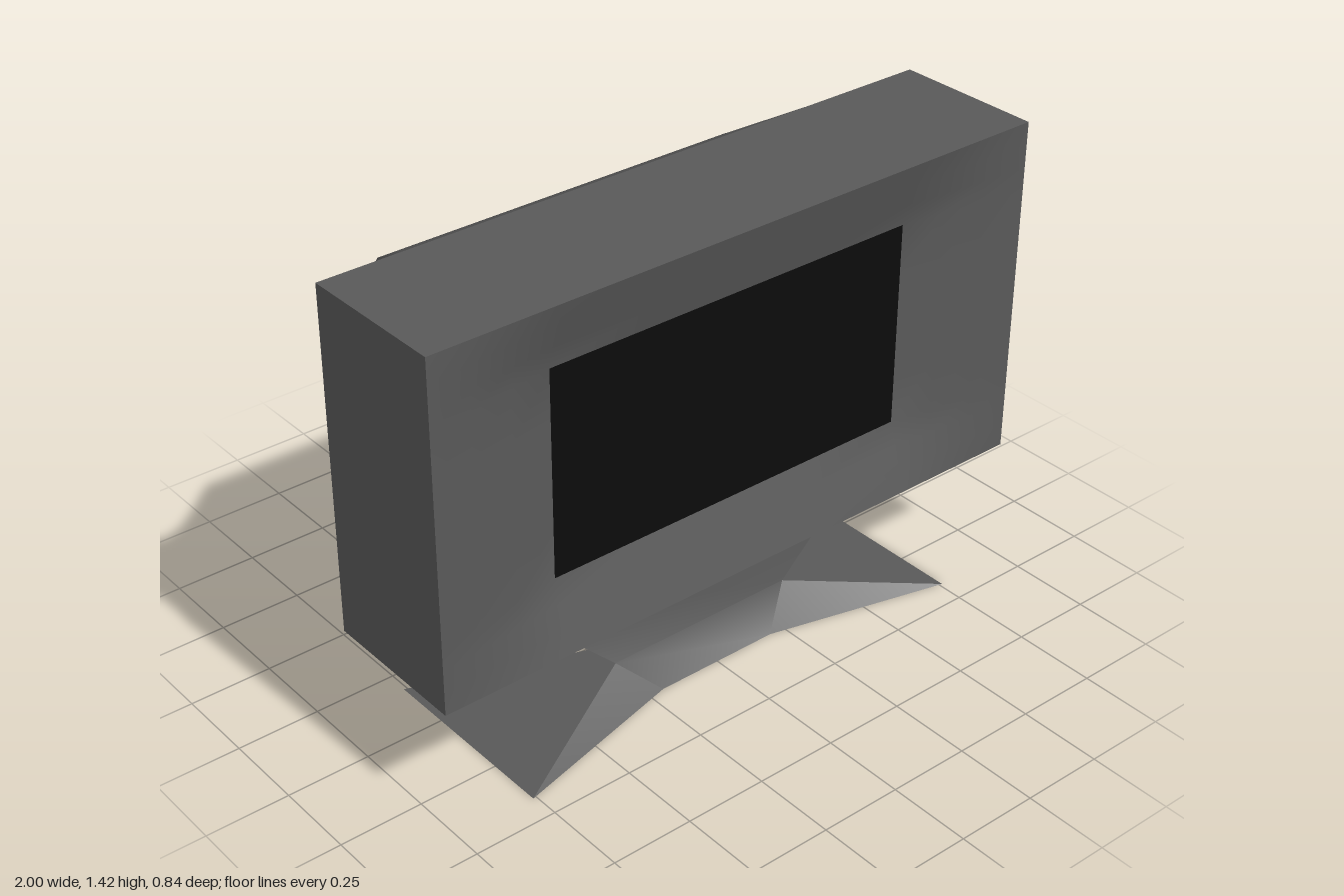
import * as THREE from 'three';
import { toCreasedNormals } from 'three/addons/utils/BufferGeometryUtils.js';

const TOP = 1.42, BOTTOM = 0.38, FRONT = 0.39, BACK = -0.07;
const INNER_X = 0.6, INNER_LOW = 0.585, INNER_HIGH = 1.21;
const RECESS = 0.065, BULGE = 0.35;

// Solid from convex corner loops, counter-clockwise seen from outside
function fromFaces(faces, crease) {
  const pos = [];
  for (const f of faces)
    for (let i = 1; i < f.length - 1; i++) pos.push(...f[0], ...f[i], ...f[i + 1]);
  const geo = new THREE.BufferGeometry();
  geo.setAttribute('position', new THREE.Float32BufferAttribute(pos, 3));
  return toCreasedNormals(geo, crease);
}

const mirrorX = (face) => face.map(([x, y, z]) => [-x, y, z]).reverse();

// Evenly divided stops: outer border, middle, outer border
function stops(marks, border, middle) {
  const out = [marks[0]];
  [border, middle, border].forEach((n, k) => {
    for (let i = 1; i <= n; i++) out.push(THREE.MathUtils.lerp(marks[k], marks[k + 1], i / n));
  });
  return out;
}

// Panel facing +z whose inner rectangle is pushed out (or in) by depth
function panel(depth, open) {
  const border = 3, middle = 4;
  const xs = stops([-1, -INNER_X, INNER_X, 1], border, middle);
  const ys = stops([BOTTOM, INNER_LOW, INNER_HIGH, TOP], border, middle);
  const ramp = (v, a, b, c, d) => Math.min(1, (v - a) / (b - a), (d - v) / (d - c));
  const pos = [], index = [], n = xs.length;
  for (const y of ys)
    for (const x of xs)
      pos.push(x, y, depth * ramp(x, -1, -INNER_X, INNER_X, 1)
        * ramp(y, BOTTOM, INNER_LOW, INNER_HIGH, TOP));
  const inMiddle = (i) => i >= border && i < border + middle;
  for (let j = 0; j < n - 1; j++)
    for (let i = 0; i < n - 1; i++) {
      if (open && inMiddle(i) && inMiddle(j)) continue;
      const a = j * n + i, b = a + 1, c = b + n, d = a + n;
      index.push(a, b, c, a, c, d);
    }
  const geo = new THREE.BufferGeometry();
  geo.setAttribute('position', new THREE.Float32BufferAttribute(pos, 3));
  geo.setIndex(index);
  geo.computeVertexNormals();
  return geo;
}

// Straight sides of the cabinet
function cabinetSides() {
  const side = [[1, TOP, FRONT], [1, BOTTOM, FRONT], [1, BOTTOM, BACK], [1, TOP, BACK]];
  const level = (y) => [[-1, y, FRONT], [1, y, FRONT], [1, y, BACK], [-1, y, BACK]];
  return fromFaces([side, mirrorX(side), level(TOP), level(BOTTOM).reverse()], 0.5);
}

// Tapered neck running into two flared feet
function standGeometry() {
  const top = (s, z) => [0.6 * s, BOTTOM, z];
  const mid = (s, z) => [0.31 * s, 0.1, z];
  const waist = (s, z) => [0.2 * s, 0, z];
  const tip = (s, z) => [0.76 * s, 0, z];
  const skin = (neckZ, waistZ, tipZ) => {
    const foot = [mid(1, neckZ), waist(1, waistZ), tip(1, tipZ)];
    return [
      [top(-1, neckZ), mid(-1, neckZ), mid(1, neckZ), top(1, neckZ)],
      [mid(-1, neckZ), waist(-1, waistZ), waist(1, waistZ), mid(1, neckZ)],
      foot, mirrorX(foot),
    ];
  };
  const f = 0.206, b = 0.117, wf = 0.28, wb = 0.19, tf = 0.42, tb = -0.18;
  const faces = [...skin(f, wf, tf), ...skin(b, wb, tb).map((face) => face.reverse())];
  const ends = [
    [top(1, f), mid(1, f), mid(1, b), top(1, b)],
    [mid(1, f), tip(1, tf), tip(1, tb), mid(1, b)],
    [waist(1, wf), waist(1, wb), tip(1, tb), tip(1, tf)],
  ];
  for (const e of ends) faces.push(e, mirrorX(e));
  faces.push([waist(-1, wf), waist(-1, wb), waist(1, wb), waist(1, wf)]);
  faces.push([top(-1, f), top(1, f), top(1, b), top(-1, b)]);
  return fromFaces(faces, 0.8);
}

export function createModel() {
  const model = new THREE.Group();
  model.name = 'monitor';
  const casing = new THREE.MeshStandardMaterial({ color: 0x595959 });
  const glass = new THREE.MeshStandardMaterial({ color: 0x0b0b0b });
  const add = (name, geo, mat) => {
    const mesh = new THREE.Mesh(geo, mat);
    mesh.name = name;
    model.add(mesh);
    return mesh;
  };

  add('cabinet', cabinetSides(), casing);
  add('screenFrame', panel(-RECESS, true), casing).position.z = FRONT;

  const rear = add('rearCover', panel(BULGE, false), casing);
  rear.rotation.y = Math.PI;
  rear.position.z = BACK;

  const screen = add('screen', new THREE.PlaneGeometry(2 * INNER_X, INNER_HIGH - INNER_LOW), glass);
  screen.position.set(0, (INNER_HIGH + INNER_LOW) / 2, FRONT - RECESS);

  add('stand', standGeometry(), casing);
  return model;
}
